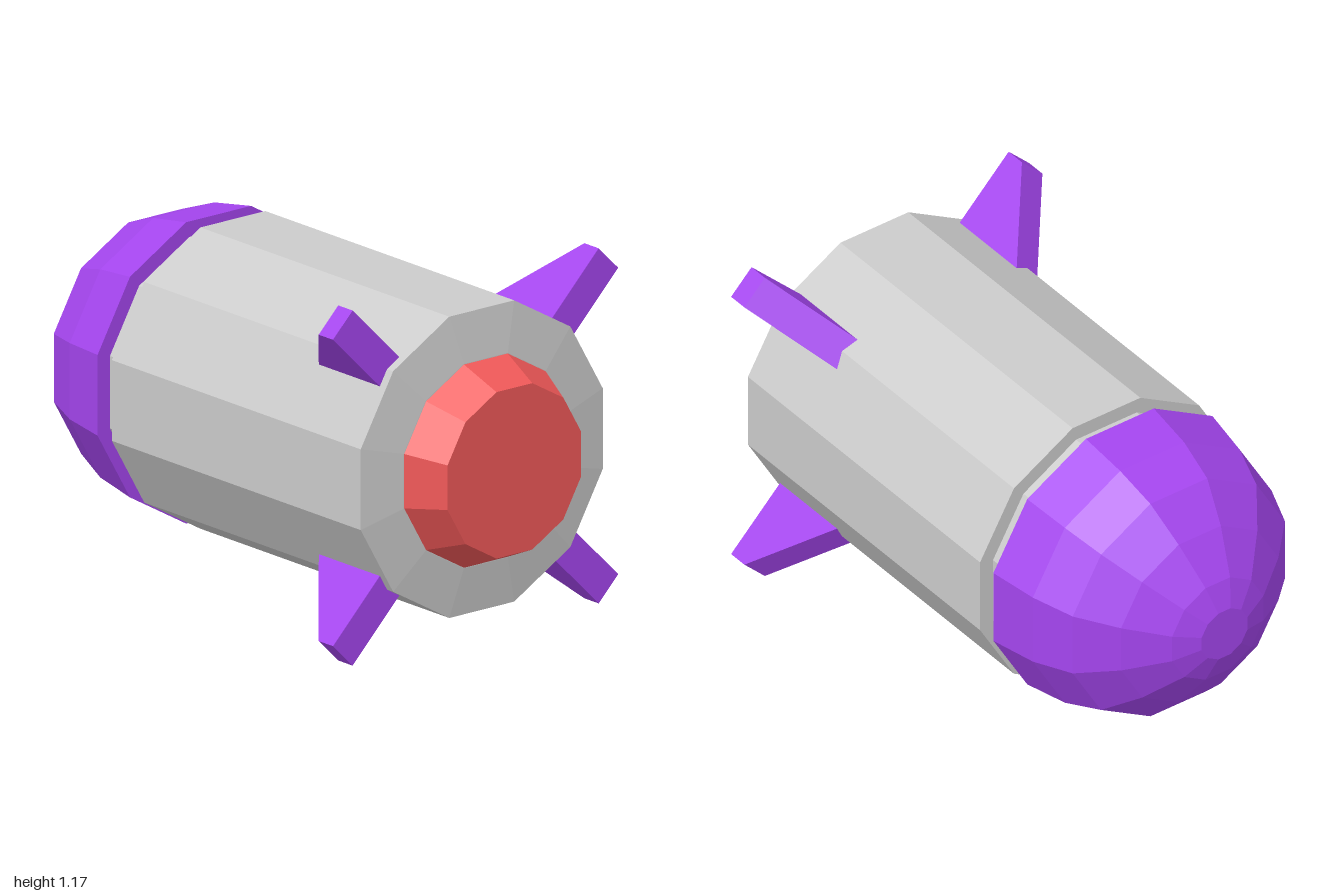
import * as THREE from 'three';

const SIDES = 12;
const AXIS_Y = 0.588;
const material = (color) => new THREE.MeshStandardMaterial({ color, flatShading: true });

// Twelve-sided solid around the x axis; profile is [x, flat-to-centre radius]
function turned(name, profile, mat) {
  const toCorner = 1 / Math.cos(Math.PI / SIDES);
  const points = profile.map(([x, r]) => new THREE.Vector2(r * toCorner, x));
  const geometry = new THREE.LatheGeometry(points, SIDES, Math.PI / SIDES);
  geometry.rotateZ(-Math.PI / 2);
  const mesh = new THREE.Mesh(geometry, mat);
  mesh.name = name;
  return mesh;
}

export function createModel() {
  const grey = material(0xcccccc);
  const purple = material(0xa445ee);
  const red = material(0xef5858);

  const model = new THREE.Group();
  model.name = 'rocket';
  const hull = new THREE.Group();
  hull.name = 'hull';
  hull.position.y = AXIS_Y;
  model.add(hull);

  // Rounded nose with a small flat tip
  hull.add(turned('nose', [
    [-1, 0], [-1, 0.09], [-0.965, 0.18], [-0.87, 0.31],
    [-0.76, 0.418], [-0.62, 0.47], [-0.45, 0.498], [-0.45, 0],
  ], purple));

  // Body with recessed neck and slightly conical tail
  hull.add(turned('body', [
    [-0.45, 0], [-0.45, 0.447], [-0.38, 0.447], [-0.38, 0.498],
    [0.84, 0.498], [0.86, 0.338], [0.86, 0],
  ], grey));

  // Closed, tapering nozzle
  hull.add(turned('nozzle', [[0.855, 0], [0.855, 0.338], [1, 0.275], [1, 0]], red));

  // Four swept fins on the diagonals
  const thickness = 0.114;
  const outline = new THREE.Shape([
    new THREE.Vector2(0.426, 0.4), new THREE.Vector2(0.81, 0.4),
    new THREE.Vector2(0.81, 0.773), new THREE.Vector2(0.74, 0.773),
  ]);
  const finGeometry = new THREE.ExtrudeGeometry(outline, { depth: thickness, bevelEnabled: false });
  finGeometry.translate(0, 0, -thickness / 2);
  for (let i = 0; i < 4; i++) {
    const fin = new THREE.Mesh(finGeometry, purple);
    fin.name = `fin${i + 1}`;
    fin.rotation.x = Math.PI / 4 + (i * Math.PI) / 2;
    hull.add(fin);
  }

  return model;
}
